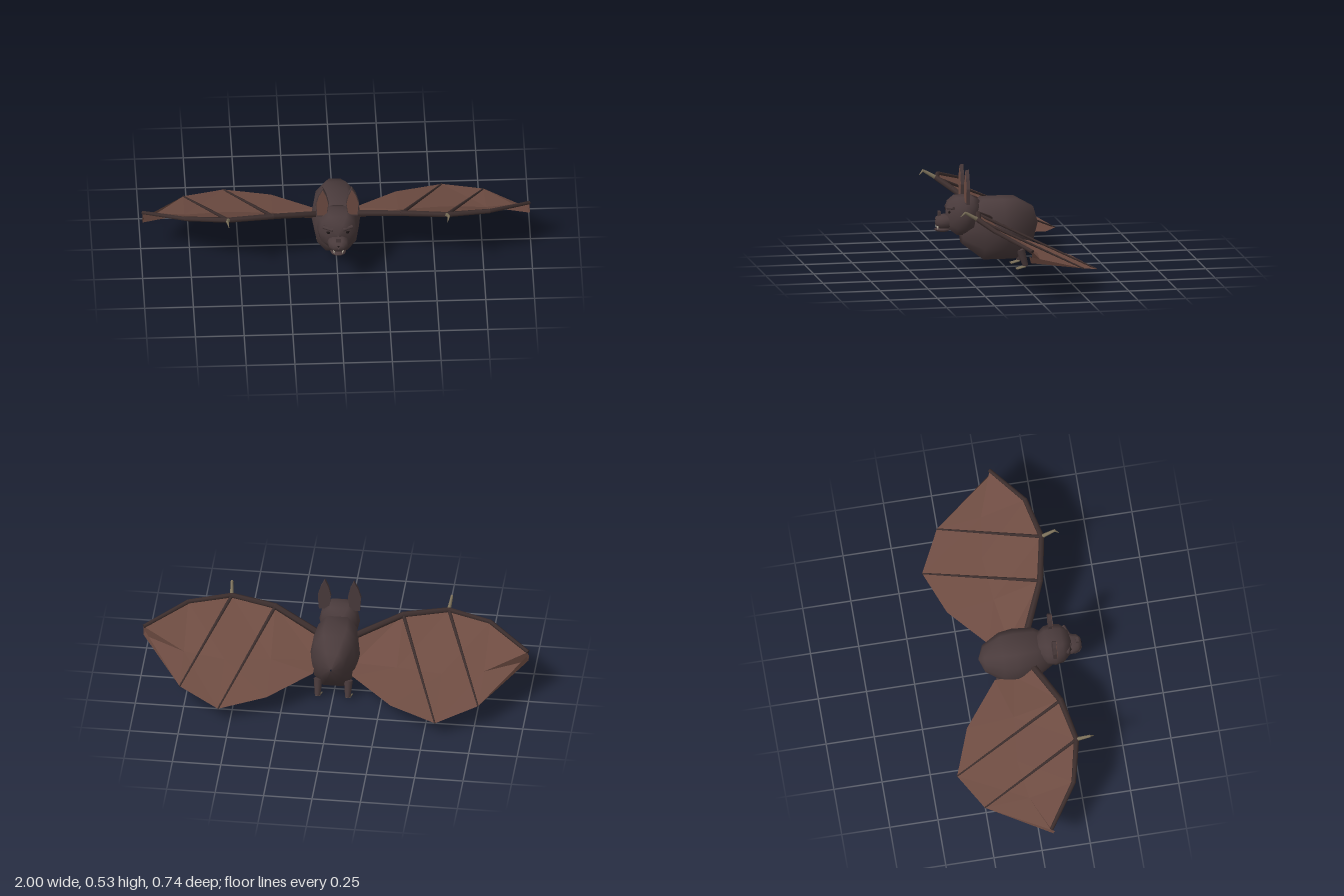
import * as THREE from 'three';

const mat = (name, color, side = THREE.FrontSide) => {
  const m = new THREE.MeshStandardMaterial({ color, side });
  m.name = name;
  return m;
};

export function createModel() {
  const fur = mat('fur', 0x4a3b3c);
  const bone = mat('wingBone', 0x3c2e2d);
  const skin = mat('wingSkin', 0x6e4c42, THREE.DoubleSide);
  const claw = mat('claw', 0x7d725b);
  const fang = mat('fang', 0xd8d0bc);
  const black = mat('black', 0x1c1516);

  const model = new THREE.Group();
  model.name = 'bat';
  const V = (p) => new THREE.Vector3(...p);
  const add = (parent, name, geo, material) => {
    const mesh = new THREE.Mesh(geo, material);
    mesh.name = name;
    parent.add(mesh);
    return mesh;
  };

  // Tapered rod between two points
  const rod = (parent, name, a, b, ra, rb, material, sides = 6) => {
    const from = V(a), dir = V(b).sub(from);
    const mesh = add(parent, name, new THREE.CylinderGeometry(rb, ra, dir.length(), sides), material);
    mesh.position.copy(from).addScaledVector(dir, 0.5);
    mesh.quaternion.setFromUnitVectors(new THREE.Vector3(0, 1, 0), dir.normalize());
    return mesh;
  };

  const ball = (parent, name, pos, size, material, w = 10, h = 7) => {
    const mesh = add(parent, name, new THREE.SphereGeometry(1, w, h), material);
    mesh.position.set(...pos);
    mesh.scale.set(...size);
    return mesh;
  };

  // Rings along z, each [z, bottom, top, halfWidth], ten-sided with a broad flat top and bottom
  const loft = (name, rings, material) => {
    const n = 10, pos = [], idx = [];
    for (const [z, lo, hi, rx] of rings) {
      for (let i = 0; i < n; i++) {
        const a = (i / n) * Math.PI * 2, c = Math.cos(a);
        pos.push(Math.sign(c) * Math.abs(c) ** 0.65 * rx, (lo + hi) / 2 + Math.sin(a) / 0.951 * (hi - lo) / 2, z);
      }
    }
    for (let r = 0; r < rings.length - 1; r++) {
      for (let i = 0; i < n; i++) {
        const a = r * n + i, b = r * n + (i + 1) % n;
        idx.push(a, b, a + n, b, b + n, a + n);
      }
    }
    const geo = new THREE.BufferGeometry();
    geo.setAttribute('position', new THREE.Float32BufferAttribute(pos, 3));
    geo.setIndex(idx);
    geo.computeVertexNormals();
    return add(model, name, geo, material);
  };

  loft('body', [
    [-0.168, 0.225, 0.235, 0.004], [-0.142, 0.145, 0.315, 0.062], [-0.05, 0.055, 0.365, 0.115],
    [0.02, 0.055, 0.365, 0.127], [0.125, 0.055, 0.365, 0.115], [0.23, 0.135, 0.285, 0.06],
    [0.238, 0.205, 0.215, 0.004],
  ], fur);
  loft('head', [
    [0.125, 0.275, 0.285, 0.004], [0.14, 0.23, 0.36, 0.06], [0.178, 0.195, 0.38, 0.095],
    [0.22, 0.185, 0.38, 0.105], [0.262, 0.187, 0.38, 0.095], [0.3, 0.215, 0.355, 0.06],
    [0.312, 0.285, 0.295, 0.004],
  ], fur);

  // Face
  loft('muzzle', [
    [0.285, 0.22, 0.28, 0.05], [0.31, 0.217, 0.286, 0.055], [0.343, 0.217, 0.286, 0.048],
    [0.362, 0.232, 0.272, 0.028], [0.366, 0.247, 0.257, 0.004],
  ], fur);
  ball(model, 'jaw', [0, 0.211, 0.328], [0.042, 0.013, 0.042], fur);
  const leaf = add(model, 'noseLeaf', new THREE.BoxGeometry(0.026, 0.05, 0.014), fur);
  leaf.position.set(0, 0.28, 0.344);
  ball(model, 'nose', [0, 0.262, 0.356], [0.016, 0.01, 0.01], black, 8, 6);

  // Ear outline, from base to tip
  const earShape = (s) => new THREE.Shape([
    [-0.026, 0], [0.026, 0], [0.034, 0.08], [0.02, 0.135], [0, 0.178], [-0.02, 0.135], [-0.034, 0.08],
  ].map(([x, y]) => new THREE.Vector2(x * s, y * s)));

  // Wing joints along the leading edge, and membrane points along the trailing edge
  const lead = [[0.1, 0.275, 0.1], [0.33, 0.348, 0.205], [0.56, 0.366, 0.25], [0.78, 0.343, 0.2], [0.992, 0.275, 0.05]];
  const trail = [[0.1, 0.157, -0.1], [0.32, 0.114, -0.28], [0.56, 0.085, -0.37], [0.77, 0.133, -0.26], [0.995, 0.25, 0.068]];
  // The middle of the membrane sags below the fingers
  const middle = lead.map((p, i) => p.map((c, k) => (c + trail[i][k]) / 2 - (k === 1 ? 0.046 : 0)));
  const rows = [lead, middle, trail];

  for (const s of [1, -1]) {
    const side = s > 0 ? 'left' : 'right';
    const M = ([x, y, z]) => [x * s, y, z];
    const part = (name) => {
      const g = new THREE.Group();
      g.name = side + name;
      model.add(g);
      return g;
    };

    // Ear with a coloured inner plate
    const ear = part('Ear');
    ear.position.set(0.08 * s, 0.353, 0.204);
    ear.rotation.z = 0.03 * s;
    add(ear, 'earBack', new THREE.ExtrudeGeometry(earShape(1), { depth: 0.018, bevelEnabled: false }), fur);
    add(ear, 'earInner', new THREE.ExtrudeGeometry(earShape(0.9), { depth: 0.003, bevelEnabled: false }), skin)
      .position.set(0, 0.008, 0.017);

    // Eye, brow and fang
    const face = part('Face');
    ball(face, 'eye', M([0.048, 0.308, 0.295]), [0.012, 0.011, 0.012], black, 8, 6);
    rod(face, 'brow', M([0.025, 0.325, 0.303]), M([0.075, 0.331, 0.283]), 0.01, 0.009, fur);
    const tooth = add(face, 'fang', new THREE.ConeGeometry(0.006, 0.024, 5), fang);
    tooth.position.set(0.022 * s, 0.221, 0.356);
    tooth.rotation.x = Math.PI;

    // Wing: membrane, arm, fingers and thumb
    const wing = part('Wing');
    const points = [];
    for (let r = 0; r < 2; r++) {
      for (let i = 0; i < 4; i++) {
        const a = rows[r][i], b = rows[r][i + 1], c = rows[r + 1][i], d = rows[r + 1][i + 1];
        // Mirrored triangles are reversed so the upper face keeps its direction
        for (const t of [[a, b, c], [b, d, c]]) points.push(...(s > 0 ? t : t.reverse()).flatMap(M));
      }
    }
    const geo = new THREE.BufferGeometry();
    geo.setAttribute('position', new THREE.Float32BufferAttribute(points, 3));
    geo.computeVertexNormals();
    add(wing, 'membrane', geo, skin);

    const radii = [0.018, 0.016, 0.014, 0.012, 0.01];
    for (let i = 0; i < 4; i++) {
      rod(wing, 'armBone', M(lead[i]), M(lead[i + 1]), radii[i], radii[i + 1], bone);
      if (i) ball(wing, 'knuckle', M(lead[i]), [radii[i], radii[i], radii[i]], bone, 6, 5);
    }
    rod(wing, 'finger', M(lead[1]), M(trail[2]), 0.009, 0.004, bone);
    rod(wing, 'finger', M(lead[2]), M(trail[3]), 0.009, 0.004, bone);
    rod(wing, 'thumb', M([0.56, 0.366, 0.25]), M([0.568, 0.406, 0.318]), 0.011, 0.007, claw);
    rod(wing, 'thumbClaw', M([0.568, 0.408, 0.316]), M([0.56, 0.384, 0.341]), 0.007, 0.001, claw);

    // Leg with three clawed toes
    const leg = part('Leg');
    rod(leg, 'shin', M([0.078, 0.105, -0.065]), M([0.078, 0.018, -0.092]), 0.023, 0.014, fur, 8);
    for (const k of [-1, 0, 1]) {
      rod(leg, 'toe', M([0.078 + k * 0.008, 0.017, -0.09]), M([0.078 + k * 0.018, 0.005, -0.042]), 0.006, 0.003, claw, 5);
    }
  }
  return model;
}
